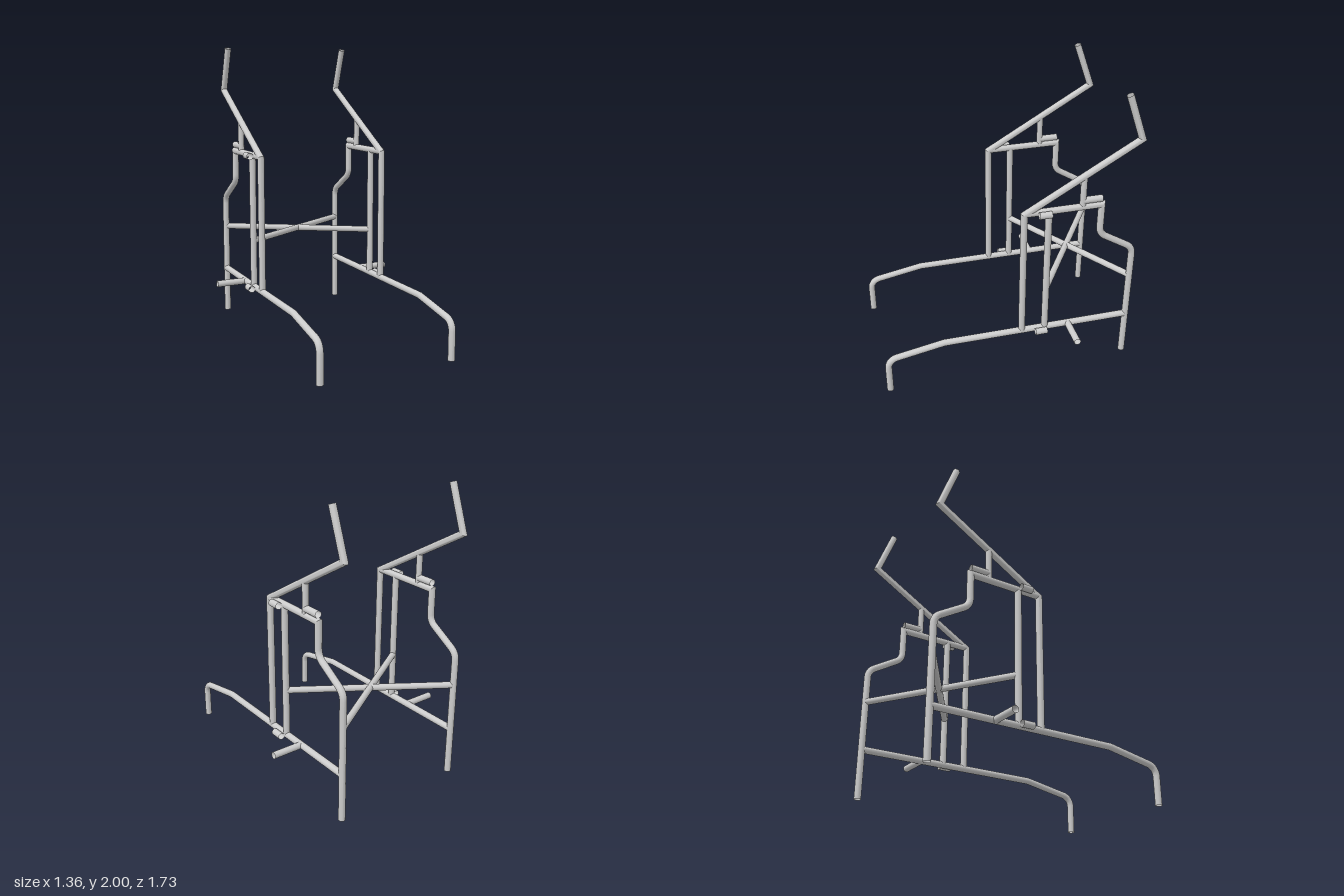
import * as THREE from 'three';
import { toCreasedNormals } from 'three/addons/utils/BufferGeometryUtils.js';

const R = 0.023, SIDES = 24;
const HALF_WIDTH = 0.463;
const material = new THREE.MeshStandardMaterial({ color: 0xcccccc, side: THREE.DoubleSide });

function addMesh(parent, name, geometry) {
  const mesh = new THREE.Mesh(geometry, material);
  mesh.name = name;
  parent.add(mesh);
  return mesh;
}

// Straight open pipe between two points [x, y, z]
function pipe(parent, name, from, to, radius = R) {
  const a = new THREE.Vector3(...from), b = new THREE.Vector3(...to);
  const dir = b.clone().sub(a);
  const mesh = addMesh(parent, name, new THREE.CylinderGeometry(radius, radius, dir.length(), SIDES, 1, true));
  mesh.position.copy(a).add(b).multiplyScalar(0.5);
  mesh.quaternion.setFromUnitVectors(new THREE.Vector3(0, 1, 0), dir.normalize());
}

// Corners [z, y, bend radius]: rounded by an arc, or left sharp for a mitre
function roundCorners(corners) {
  const points = [];
  corners.forEach(([z, y, bend], i) => {
    const p = new THREE.Vector2(z, y);
    if (!bend) { points.push(p); return; }
    const inDir = p.clone().sub(new THREE.Vector2(...corners[i - 1].slice(0, 2))).normalize();
    const outDir = new THREE.Vector2(...corners[i + 1].slice(0, 2)).sub(p).normalize();
    const turn = Math.atan2(inDir.cross(outDir), inDir.dot(outDir));
    const side = Math.sign(turn);
    const start = p.clone().addScaledVector(inDir, -bend * Math.tan(Math.abs(turn) / 2));
    const toStart = new THREE.Vector2(inDir.y, -inDir.x).multiplyScalar(side * bend);
    const centre = start.clone().sub(toStart);
    const steps = 10;
    for (let k = 0; k <= steps; k++) {
      points.push(toStart.clone().rotateAround(new THREE.Vector2(), turn * k / steps).add(centre));
    }
  });
  return points;
}

// Pipe bent in the z-y plane
function bentPipe(parent, name, x, corners) {
  const path = roundCorners(corners);
  const last = path.length - 1, positions = [], index = [];
  path.forEach((p, i) => {
    const t0 = path[Math.max(i, 1)].clone().sub(path[Math.max(i, 1) - 1]).normalize();
    const j = Math.min(i, last - 1);
    const t1 = path[j + 1].clone().sub(path[j]).normalize();
    const t = t0.clone().add(t1).normalize();
    const stretch = R / t.dot(t0);
    for (let k = 0; k < SIDES; k++) {
      const a = k / SIDES * Math.PI * 2;
      const across = Math.cos(a) * stretch;
      positions.push(R * Math.sin(a), p.y + t.x * across, p.x - t.y * across);
      if (i < last) {
        const n = (k + 1) % SIDES, row = i * SIDES, next = row + SIDES;
        index.push(row + k, next + k, row + n, next + k, next + n, row + n);
      }
    }
  });
  const geometry = new THREE.BufferGeometry();
  geometry.setAttribute('position', new THREE.Float32BufferAttribute(positions, 3));
  geometry.setIndex(index);
  addMesh(parent, name, toCreasedNormals(geometry, 0.5)).position.x = x;
}

function createSide(s) {
  const side = new THREE.Group();
  side.name = s > 0 ? 'leftSideFrame' : 'rightSideFrame';
  const x = s * HALF_WIDTH;

  // Lower rail running forward and down to the front foot
  bentPipe(side, 'lowerRail', x, [[-0.84, 0.328], [0.46, 0.328], [0.845, 0.257, 0.075], [0.845, 0]]);
  // Rear leg, stepped forward and up into the upper rail
  bentPipe(side, 'rearLegAndUpperRail', x,
    [[-0.84, 0], [-0.84, 0.885, 0.085], [-0.597, 1.033, 0.085], [-0.597, 1.255], [-0.08, 1.255]]);
  // Front post, sloping bar and handle
  bentPipe(side, 'frontPostAndHandle', x, [[-0.08, 0.328], [-0.08, 1.25], [-0.833, 1.687], [-0.723, 1.99]]);

  pipe(side, 'innerPost', [x, 0.328, -0.243], [x, 1.255, -0.243]);
  pipe(side, 'handleStrut', [x, 1.26, -0.467], [x, 1.472, -0.467], 0.021);
  pipe(side, 'strutSleeve', [x, 1.3, -0.467], [x, 1.3, -0.597]);

  // Pivot sleeves outside the inner post
  for (const y of [0.328, 1.255]) {
    pipe(side, 'pivotSleeve', [s * 0.508, y, -0.248], [s * 0.508, y, -0.166]);
  }
  // Wheel axle stub
  pipe(side, 'axle', [x, 0.328, -0.41], [s * 0.68, 0.328, -0.41]);
  return side;
}

export function createModel() {
  const model = new THREE.Group();
  model.name = 'chairFrame';
  for (const s of [-1, 1]) {
    model.add(createSide(s));
    // Diagonal cross brace between the two sides
    pipe(model, 'crossBrace', [s * HALF_WIDTH, 0.657, -0.84], [-s * HALF_WIDTH, 0.657, -0.243], 0.022);
  }
  return model;
}
